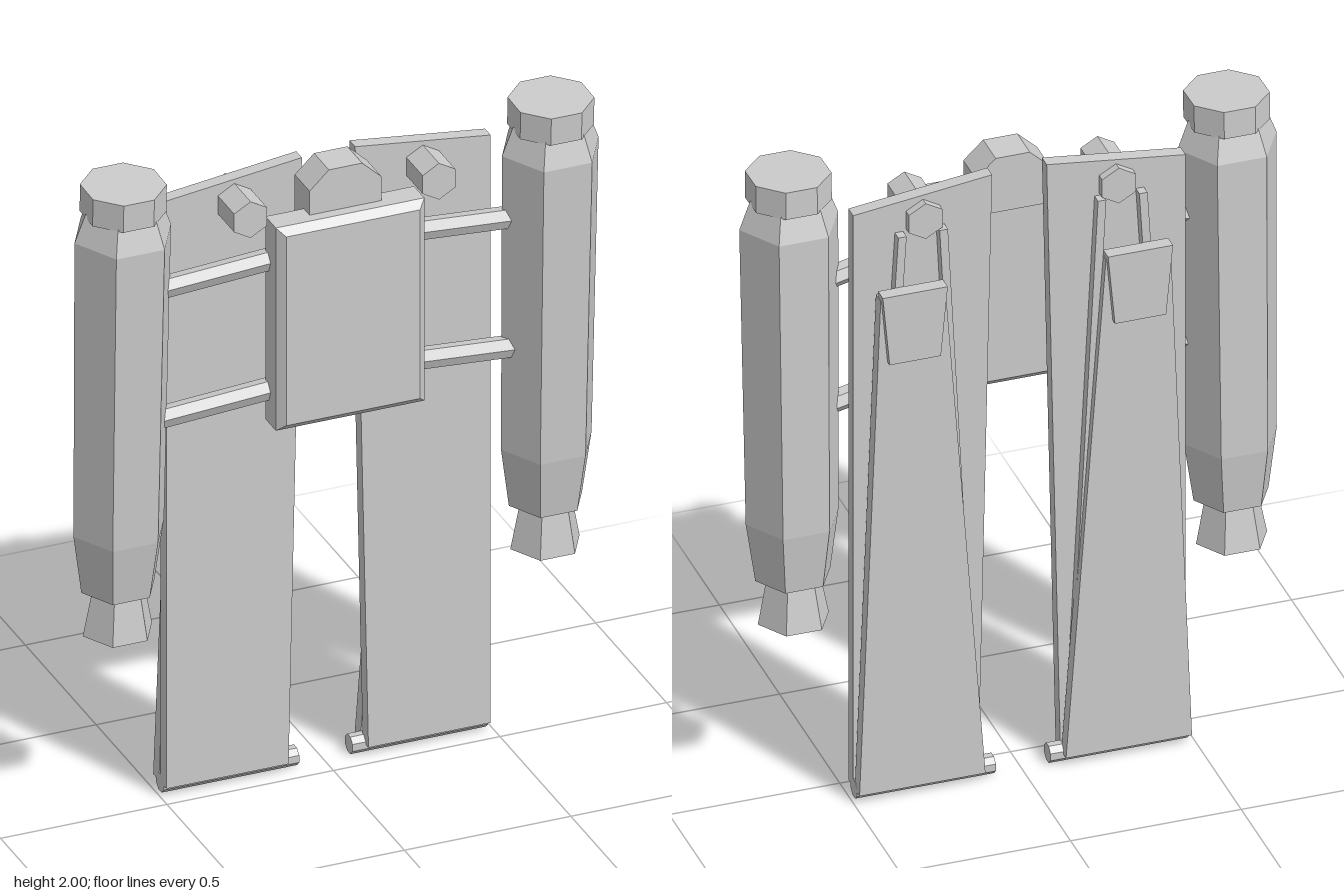
import * as THREE from 'three';

const material = new THREE.MeshStandardMaterial({ color: 0xcccccc, flatShading: true });

function addMesh(parent, name, geometry) {
  const mesh = new THREE.Mesh(geometry, material);
  mesh.name = name;
  parent.add(mesh);
  return mesh;
}

// Flat outline in x/y, given thickness from z0 to z1 (s = -1 mirrors it)
function addPlate(parent, name, points, z0, z1, s = 1) {
  const shape = new THREE.Shape(points.map(([x, y]) => new THREE.Vector2(x * s, y)));
  const geometry = new THREE.ExtrudeGeometry(shape, { depth: z1 - z0, bevelEnabled: false });
  geometry.translate(0, 0, z0);
  return addMesh(parent, name, geometry);
}

// Straight prism between two points
function addBar(parent, name, a, b, radius, sides, twist = 0) {
  const from = new THREE.Vector3(...a), to = new THREE.Vector3(...b);
  const dir = to.clone().sub(from);
  const geometry = new THREE.CylinderGeometry(radius, radius, dir.length(), sides);
  geometry.rotateY(twist);
  const mesh = addMesh(parent, name, geometry);
  mesh.position.copy(from).add(to).multiplyScalar(0.5);
  mesh.quaternion.setFromUnitVectors(new THREE.Vector3(0, 1, 0), dir.normalize());
  return mesh;
}

// Six-sided thruster pod with flared nozzle and octagonal cap, leaning slightly forward
function addThruster(parent, s) {
  const pod = new THREE.Group();
  pod.name = 'thruster';
  const profile = [
    [0, 0.575], [0.104, 0.575], [0.077, 0.715], [0.11, 0.715],
    [0.136, 0.9], [0.145, 1.84], [0.113, 1.925], [0, 1.925],
  ].map(([r, y]) => new THREE.Vector2(r, y));
  addMesh(pod, 'thrusterBody', new THREE.LatheGeometry(profile, 6, Math.PI / 2));
  const cap = new THREE.CylinderGeometry(0.12, 0.12, 0.085, 8);
  cap.rotateY(Math.PI / 8);
  addMesh(pod, 'thrusterCap', cap).position.y = 1.9545;
  pod.position.set(0.642 * s, 0, -0.034);
  pod.rotation.x = 0.03;
  parent.add(pod);
}

// Folded wing: front panel, bottom hinge, tapered rear panel with rods and latch
function addWing(parent, s) {
  const wing = new THREE.Group();
  wing.name = 'foldedWing';
  addPlate(wing, 'frontPanel', [[0.487, 0.03], [0.487, 1.88], [0.08, 1.93], [0.12, 0.03]], -0.075, -0.035, s);
  addPlate(wing, 'rearPanel', [[0.487, 0.03], [0.425, 1.62], [0.235, 1.62], [0.118, 0.03]], -0.128, -0.088, s);
  addPlate(wing, 'latch', [[0.425, 1.64], [0.235, 1.64], [0.255, 1.42], [0.405, 1.42]], -0.146, -0.105, s);
  addBar(wing, 'hinge', [0.08 * s, 0.028, -0.08], [0.487 * s, 0.028, -0.08], 0.029, 8, Math.PI / 8);
  for (const [top, bottom] of [[0.353, 0.455], [0.232, 0.145]]) {
    addPlate(wing, 'foldingRod', [
      [top - 0.012, 1.8], [top + 0.012, 1.8], [bottom + 0.012, 0.08], [bottom - 0.012, 0.08],
    ], -0.105, -0.07, s);
  }
  // Hexagonal pivot passing through the front panel
  addBar(wing, 'wingPivot', [0.283 * s, 1.835, -0.1], [0.283 * s, 1.835, 0.08], 0.057, 6);
  parent.add(wing);
}

export function createModel() {
  const model = new THREE.Group();
  model.name = 'jetpack';

  // Central pack with chamfered edges
  const b = 0.022, w = 0.223 - b, y0 = 1.177 + b, y1 = 1.815 - b;
  const outline = new THREE.Shape([[-w, y0], [w, y0], [w, y1], [-w, y1]].map(p => new THREE.Vector2(...p)));
  const pack = new THREE.ExtrudeGeometry(outline, {
    depth: 0.073, bevelEnabled: true, bevelSize: b, bevelThickness: b, bevelSegments: 1,
  });
  pack.translate(0, 0, 0.022 + b);
  addMesh(model, 'pack', pack);

  // Raised housing on top of the pack
  addPlate(model, 'topHousing', [
    [-0.108, 1.77], [0.108, 1.77], [0.108, 1.89], [0.05, 1.945], [-0.05, 1.945], [-0.108, 1.89],
  ], -0.02, 0.085);

  for (const s of [1, -1]) {
    addThruster(model, s);
    addWing(model, s);
    // Arms joining the pack to the thruster
    for (const y of [1.685, 1.278]) {
      addBar(model, 'arm', [0.19 * s, y, 0.052], [0.56 * s, y - 0.052, 0.008], 0.032, 6);
    }
  }
  return model;
}
